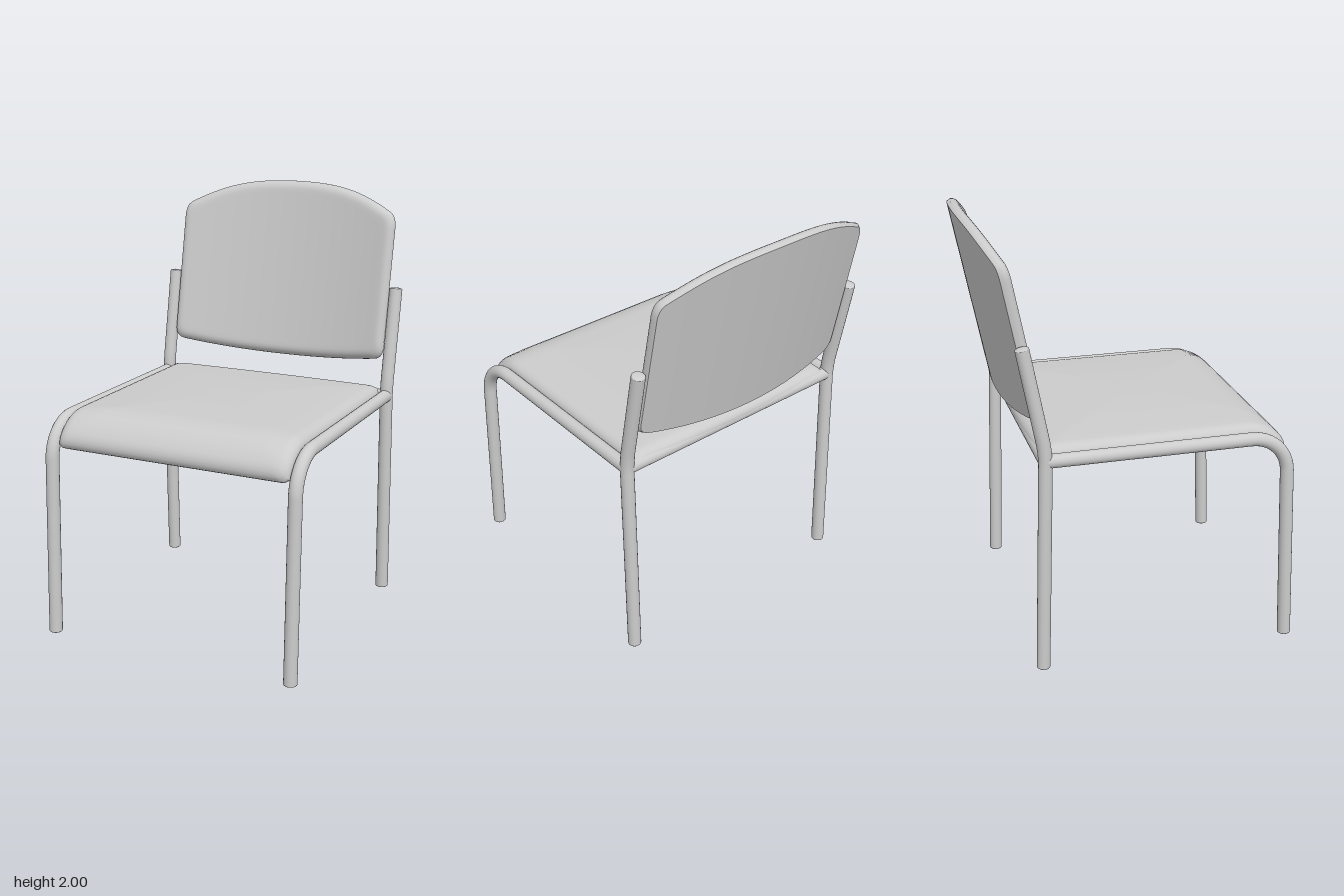
import * as THREE from 'three';
import { toCreasedNormals } from 'three/addons/utils/BufferGeometryUtils.js';

const material = new THREE.MeshStandardMaterial({ color: 0xcccccc, roughness: 0.7 });
const TUBE = 0.031;
const v3 = (x, y, z) => new THREE.Vector3(x, y, z);

// Round steel tube along a curve, with softly domed ends
function tube(name, curve, segments) {
  const group = new THREE.Group();
  group.name = name;
  group.add(new THREE.Mesh(new THREE.TubeGeometry(curve, segments, TUBE, 20), material));
  for (const t of [0, 1]) {
    const cap = new THREE.Mesh(new THREE.SphereGeometry(TUBE, 20, 10), material);
    cap.name = 'tubeEnd';
    cap.scale.y = 0.25;
    cap.quaternion.setFromUnitVectors(v3(0, 1, 0), curve.getTangentAt(t));
    cap.position.copy(curve.getPointAt(t));
    group.add(cap);
  }
  return group;
}

// Straight, bend, straight: corner is rounded from point a to point b
function bentPath(start, a, corner, b, end) {
  const path = new THREE.CurvePath();
  path.add(new THREE.LineCurve3(start, a));
  path.add(new THREE.CubicBezierCurve3(a, a.clone().lerp(corner, 0.56), b.clone().lerp(corner, 0.56), b));
  path.add(new THREE.LineCurve3(b, end));
  return path;
}

// Upholstered pad: flat underside, rounded upper rim and slightly crowned top.
// The counter-clockwise outline lies in (u, v), h is the height; map bends it into place.
function pad(name, shape, { low, high, crown, bevel, roundIn, roundUp }, map) {
  const outline = shape.getSpacedPoints(200).slice(0, -1);
  const box = new THREE.Box2().setFromPoints(outline);
  const mid = box.getCenter(new THREE.Vector2());
  const half = box.getSize(new THREE.Vector2()).multiplyScalar(0.5);
  const steps = 20;
  const rings = []; // [scale, inset, height]
  for (let i = 0; i <= steps; i++) rings.push([i / steps, bevel, low]);
  for (let i = 0; i <= 6; i++) {
    const a = (i / 6) * Math.PI / 2;
    rings.push([1, roundIn * (1 - Math.cos(a)), high - roundUp * (1 - Math.sin(a))]);
  }
  rings[steps + 1][2] = Math.max(low + bevel, high - roundUp);
  for (let i = steps - 1; i >= 0; i--) {
    const t = i / steps;
    rings.push([t, roundIn, high + crown * (1 - t * t)]);
  }
  const positions = [], index = [], n = outline.length;
  rings.forEach(([scale, inset, h], r) => {
    outline.forEach((p, j) => {
      const u = mid.x + (p.x - mid.x) * scale * (1 - inset / half.x);
      const v = mid.y + (p.y - mid.y) * scale * (1 - inset / half.y);
      positions.push(...map(u, v, h));
      if (r === rings.length - 1) return;
      const k = (j + 1) % n, a = r * n + j, b = r * n + k;
      if (r > 0) index.push(a, b, b + n);
      if (r < rings.length - 2) index.push(a, b + n, a + n);
      else index.push(a, b, a + n);
    });
  });
  const geometry = new THREE.BufferGeometry();
  geometry.setAttribute('position', new THREE.Float32BufferAttribute(positions, 3));
  geometry.setIndex(index);
  const mesh = new THREE.Mesh(toCreasedNormals(geometry, 0.75), material);
  mesh.name = name;
  return mesh;
}

export function createModel() {
  const chair = new THREE.Group();
  chair.name = 'chair';

  // Side frames, mirrored left and right
  for (const [side, x] of [['left', 0.6], ['right', -0.6]]) {
    chair.add(tube(side + 'FrontLegAndRail', bentPath(
      v3(x, 0.008, 0.69), v3(x, 0.845, 0.662), v3(x, 1.015, 0.657),
      v3(x, 1.015, 0.487), v3(x, 1.015, -0.445)), 90));
    chair.add(tube(side + 'BackPost', bentPath(
      v3(x, 0.008, -0.475), v3(x, 1.0, -0.447), v3(x, 1.06, -0.446),
      v3(x, 1.12, -0.459), v3(x, 1.524, -0.536)), 60));
  }

  // Cross bar under the rear edge of the seat
  chair.add(tube('rearCrossBar', new THREE.LineCurve3(v3(-0.6, 1.012, -0.445), v3(0.6, 1.012, -0.445)), 2));

  // Seat: rounded rectangle that rolls down over the front bend; v runs from front lip to rear
  const bend = 0.487, radius = 0.17, w = 0.568, c = 0.03;
  const front = -(bend + radius * 1.24), rear = 0.475;
  const seat = new THREE.Shape();
  seat.moveTo(0, front);
  seat.lineTo(w - c, front);
  seat.quadraticCurveTo(w, front, w, front + c);
  seat.lineTo(w, rear - c);
  seat.quadraticCurveTo(w, rear - 0.012, w - c, rear - 0.01);
  seat.quadraticCurveTo(0, rear + 0.01, -w + c, rear - 0.01);
  seat.quadraticCurveTo(-w, rear - 0.012, -w, rear - c);
  seat.lineTo(-w, front + c);
  seat.quadraticCurveTo(-w, front, -w + c, front);
  seat.closePath();
  chair.add(pad('seat', seat,
    { low: -0.015, high: 0.05, crown: 0.02, bevel: 0.004, roundIn: 0.06, roundUp: 0.045 },
    (u, v, h) => {
      const a = Math.max(0, (-v - bend) / radius);
      const z = Math.min(-v, bend);
      return [u, 1.015 - radius + (radius + h) * Math.cos(a), z + (radius + h) * Math.sin(a)];
    }));

  // Backrest: arched top, shallow curved bottom, leaning back and wrapping forward at the sides
  const back = new THREE.Shape();
  back.moveTo(0, 1.145);
  back.quadraticCurveTo(0.28, 1.145, 0.52, 1.185);
  back.quadraticCurveTo(w, 1.193, w, 1.24);
  back.lineTo(w, 1.81);
  back.quadraticCurveTo(w, 1.868, 0.53, 1.885);
  back.bezierCurveTo(0.36, 1.97, 0.24, 2.0, 0, 2.0);
  back.bezierCurveTo(-0.24, 2.0, -0.36, 1.97, -0.53, 1.885);
  back.quadraticCurveTo(-w, 1.868, -w, 1.81);
  back.lineTo(-w, 1.24);
  back.quadraticCurveTo(-w, 1.193, -0.52, 1.185);
  back.quadraticCurveTo(-0.28, 1.145, 0, 1.145);
  chair.add(pad('backrest', back,
    { low: -0.028, high: 0.028, crown: 0, bevel: 0.008, roundIn: 0.045, roundUp: 0.04 },
    (u, v, h) => [u, v + 0.2 * h, -0.532 - 0.2 * (v - 1.2) + 0.075 * (u / w) ** 2 + h]));

  return chair;
}
